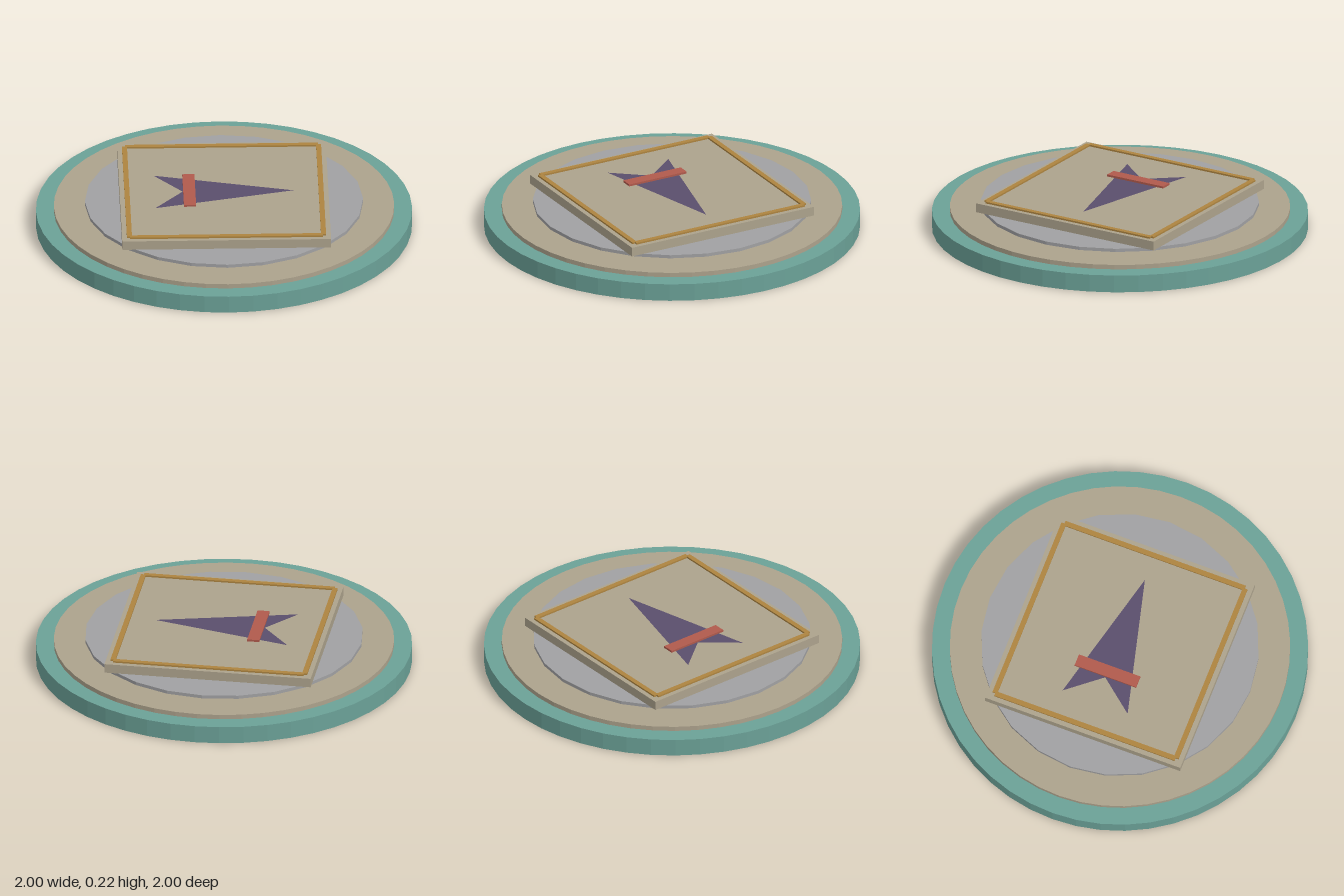
import * as THREE from 'three';

const paint = (color, side = THREE.FrontSide) =>
  new THREE.MeshStandardMaterial({ color, side, flatShading: true });

const teal = paint(0x6ba197);
const stone = paint(0xaca28c);
const grey = paint(0xa0a0a2);
const gold = paint(0xad8440);
const purple = paint(0x5a4e6c, THREE.DoubleSide);
const red = paint(0xb05a4c);

export function createModel() {
  const model = new THREE.Group();

  const add = (name, geometry, material, x, y, z) => {
    const mesh = new THREE.Mesh(geometry, material);
    mesh.name = name;
    mesh.position.set(x, y, z);
    model.add(mesh);
    return mesh;
  };
  const disc = (name, radius, y0, y1, sides, material) =>
    add(name, new THREE.CylinderGeometry(radius, radius, y1 - y0, sides), material, 0, (y0 + y1) / 2, 0);
  const box = (name, w, y0, y1, d, material, x = 0, z = 0) =>
    add(name, new THREE.BoxGeometry(w, y1 - y0, d), material, x, (y0 + y1) / 2, z);

  // Stacked round base; the thin grey disc floats just above the stone one
  disc('base', 1, 0, 0.095, 48, teal);
  disc('stoneDisc', 0.905, 0.095, 0.12, 48, stone);
  disc('greyDisc', 0.74, 0.132, 0.15, 24, grey);

  // Square plate with a raised trim whose bars leave notched corners
  box('plate', 1.11, 0.15, 0.2, 1.11, stone);
  for (const s of [-1, 1]) {
    box('trimBarX', 1.026, 0.198, 0.209, 0.027, gold, 0, s * 0.516);
    box('trimBarZ', 0.027, 0.198, 0.209, 1.026, gold, s * 0.516, 0);
  }

  // Flat notched arrowhead pointing to +x
  const arrow = new THREE.Shape();
  arrow.moveTo(0.37, 0);
  arrow.lineTo(-0.37, 0.185);
  arrow.lineTo(-0.22, 0);
  arrow.lineTo(-0.37, -0.185);
  arrow.closePath();
  add('arrow', new THREE.ShapeGeometry(arrow), purple, 0, 0.203, 0).rotation.x = -Math.PI / 2;

  // Crossbar over the arrow's tail
  box('crossbar', 0.065, 0.204, 0.215, 0.35, red, -0.185, 0);

  return model;
}
